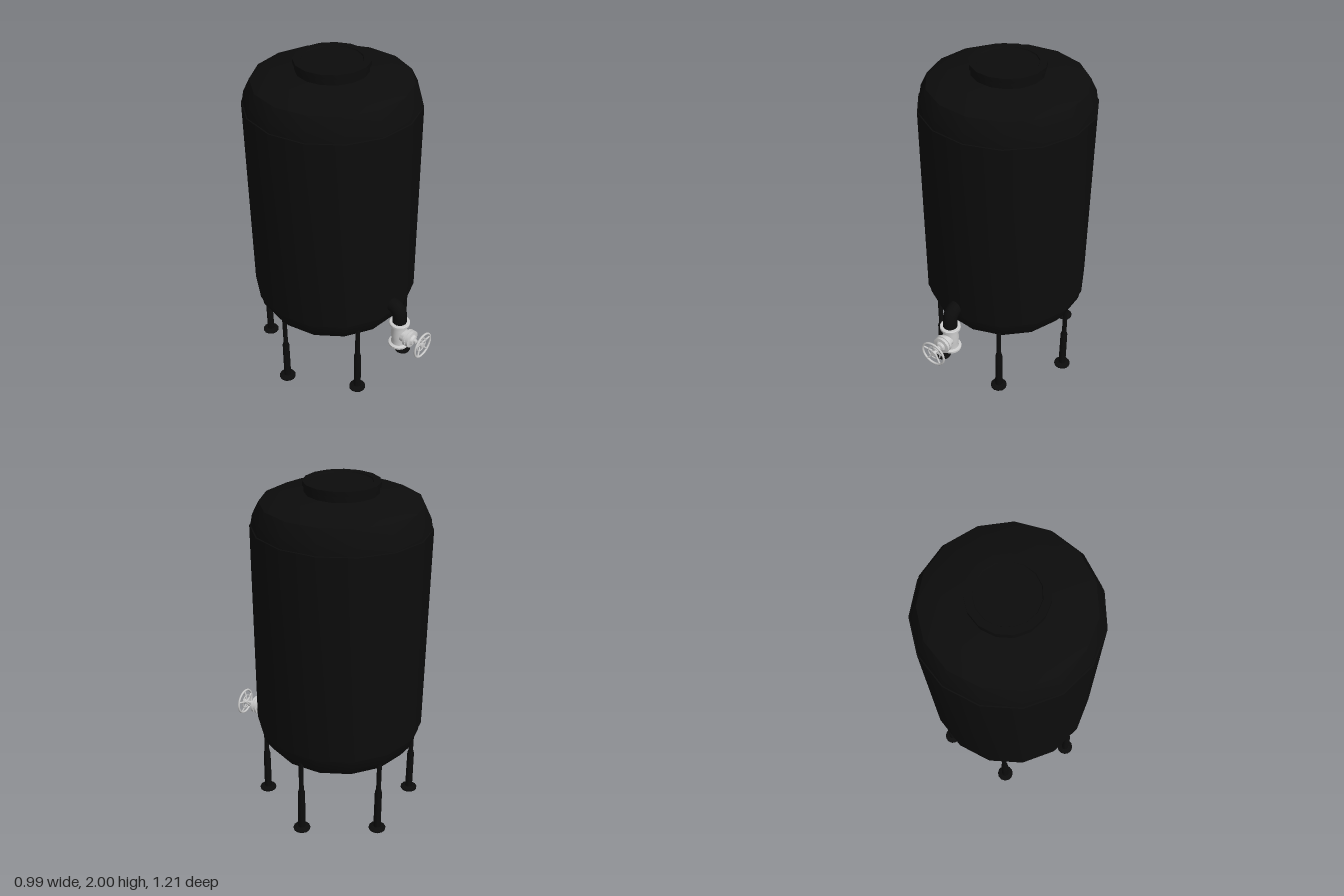
import * as THREE from 'three';
import { toCreasedNormals } from 'three/addons/utils/BufferGeometryUtils.js';

const black = new THREE.MeshStandardMaterial({ color: 0x0c0c0c });
const grey = new THREE.MeshStandardMaterial({ color: 0xcccccc });

function add(parent, name, geometry, material, x = 0, y = 0, z = 0) {
  const mesh = new THREE.Mesh(geometry, material);
  mesh.name = name;
  mesh.position.set(x, y, z);
  parent.add(mesh);
  return mesh;
}

// Turned part from [radius, height] pairs, listed bottom to top
function turned(profile, sides, start = 0) {
  const pts = profile.map(([r, h]) => new THREE.Vector2(r, h));
  return toCreasedNormals(new THREE.LatheGeometry(pts, sides, start), 0.62);
}

function createTank() {
  const tank = new THREE.Group();
  tank.name = 'tank';
  // Vessel: domed ends with a barrel that overlaps them slightly
  add(tank, 'vessel', turned([
    [0, 0.37], [0.31, 0.37], [0.43, 0.425], [0.475, 0.49], [0.486, 0.548],
    [0.492, 0.55], [0.492, 1.76], [0.486, 1.762],
    [0.475, 1.82], [0.44, 1.89], [0.32, 1.94], [0, 1.94],
  ], 15, -Math.PI / 2), black);
  // Manhole neck and lid
  add(tank, 'lid', turned([
    [0.2, 1.93], [0.2, 1.972], [0.208, 1.974], [0.208, 2],
    [0.168, 2], [0.165, 1.994], [0, 1.994],
  ], 15, -Math.PI / 2), black);
  // Six adjustable legs
  const legGeometry = turned([
    [0, 0], [0.05, 0], [0.05, 0.008], [0.022, 0.018], [0.021, 0.265],
    [0.014, 0.29], [0.014, 0.5], [0, 0.5],
  ], 12);
  for (let i = 0; i < 6; i++) {
    const a = (2 + i * 60) * Math.PI / 180;
    add(tank, 'leg' + (i + 1), legGeometry, black, 0.446 * Math.cos(a), 0, 0.446 * Math.sin(a));
  }
  return tank;
}

function createValve() {
  const valve = new THREE.Group();
  valve.name = 'valve';
  // Body with pipe flanges at both ends
  add(valve, 'valveBody', turned([
    [0, -0.09], [0.058, -0.09], [0.062, -0.085], [0.062, -0.073], [0.046, -0.068],
    [0.044, -0.04], [0.05, 0], [0.044, 0.04], [0.046, 0.068],
    [0.062, 0.073], [0.062, 0.086], [0.058, 0.09], [0, 0.09],
  ], 24), grey);
  // Bonnet and stem, turned to point forward
  add(valve, 'bonnet', turned([
    [0.04, 0], [0.04, 0.06], [0.053, 0.062], [0.053, 0.076], [0.047, 0.077],
    [0.047, 0.082], [0.053, 0.083], [0.053, 0.097], [0.033, 0.1], [0.025, 0.112],
    [0.013, 0.116], [0.013, 0.128], [0.008, 0.13], [0.008, 0.175], [0, 0.175],
  ], 24), grey).rotation.x = Math.PI / 2;
  // Handwheel
  const wheel = new THREE.Group();
  wheel.name = 'handwheel';
  wheel.position.z = 0.172;
  valve.add(wheel);
  add(wheel, 'wheelRim', new THREE.TorusGeometry(0.076, 0.007, 8, 32), grey);
  add(wheel, 'wheelRing', new THREE.TorusGeometry(0.042, 0.004, 6, 24), grey, 0, 0, -0.008);
  const hub = new THREE.CylinderGeometry(0.018, 0.016, 0.03, 16);
  add(wheel, 'wheelHub', hub, grey, 0, 0, -0.01).rotation.x = Math.PI / 2;
  for (let i = 0; i < 5; i++) {
    const a = Math.PI / 2 + i * Math.PI * 2 / 5;
    const spoke = new THREE.TubeGeometry(new THREE.LineCurve3(
      new THREE.Vector3(0.01 * Math.cos(a), 0.01 * Math.sin(a), -0.014),
      new THREE.Vector3(0.075 * Math.cos(a), 0.075 * Math.sin(a), 0)), 1, 0.006, 6);
    add(wheel, 'spoke' + (i + 1), spoke, grey);
  }
  return valve;
}

export function createModel() {
  const model = new THREE.Group();
  model.name = 'storageTank';
  const tank = createTank();
  tank.position.z = -0.115;
  model.add(tank);

  // Outlet elbow from the tank wall down to the valve
  const path = new THREE.CurvePath();
  const v = (y, z) => new THREE.Vector3(-0.04, y, z);
  path.add(new THREE.LineCurve3(v(0.603, 0.28), v(0.603, 0.355)));
  path.add(new THREE.QuadraticBezierCurve3(v(0.603, 0.355), v(0.603, 0.422), v(0.535, 0.422)));
  path.add(new THREE.LineCurve3(v(0.535, 0.422), v(0.48, 0.422)));
  add(model, 'outletPipe', new THREE.TubeGeometry(path, 24, 0.043, 18), black);

  const valve = createValve();
  valve.position.set(-0.04, 0.412, 0.422);
  model.add(valve);
  return model;
}
